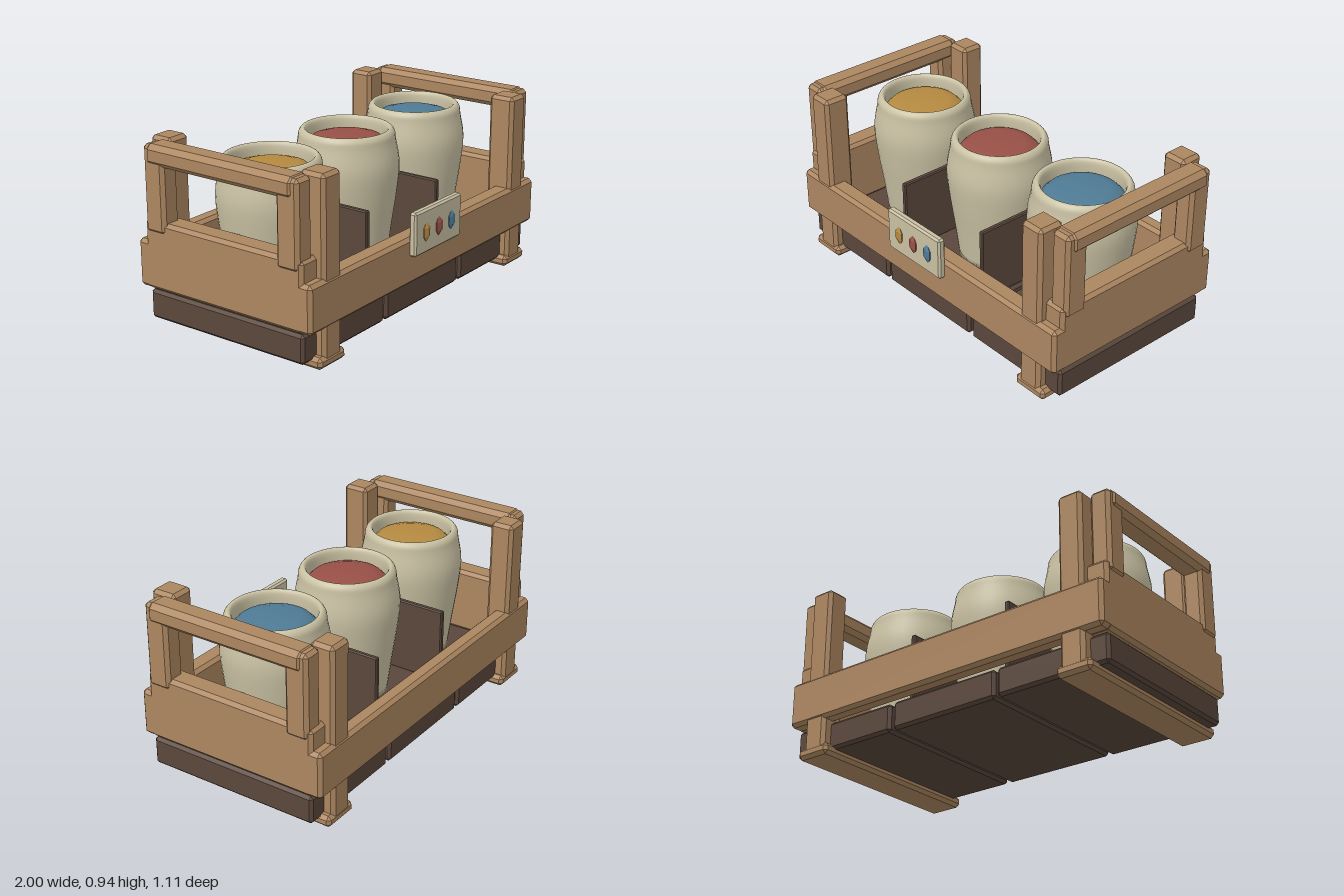
import * as THREE from 'three';
import { ConvexGeometry } from 'three/addons/geometries/ConvexGeometry.js';

const material = (name, color, side = THREE.FrontSide) => {
  const m = new THREE.MeshStandardMaterial({ color, side });
  m.name = name;
  return m;
};

// Box with every edge chamfered by c, given as [min, max] on each axis
function beam(name, mat, [x0, x1], [y0, y1], [z0, z1], c = 0.018) {
  const h = [(x1 - x0) / 2, (y1 - y0) / 2, (z1 - z0) / 2];
  const points = [];
  for (const sx of [-1, 1]) for (const sy of [-1, 1]) for (const sz of [-1, 1])
    for (let axis = 0; axis < 3; axis++) {
      const p = [sx, sy, sz].map((s, i) => s * (h[i] - (i === axis ? 0 : c)));
      points.push(new THREE.Vector3(...p));
    }
  const mesh = new THREE.Mesh(new ConvexGeometry(points), mat);
  mesh.position.set((x0 + x1) / 2, (y0 + y1) / 2, (z0 + z1) / 2);
  mesh.name = name;
  return mesh;
}

const lathe = (profile, segments) =>
  new THREE.LatheGeometry(profile.map(([r, y]) => new THREE.Vector2(r, y)), segments);

export function createModel() {
  const model = new THREE.Group();
  model.name = 'crateWithJars';
  const wood = material('wood', 0xac8660);
  const darkWood = material('dark wood', 0x5a473c);
  const clay = material('pale clay', 0xc9c1a3, THREE.DoubleSide);
  const pigments = [
    material('ochre', 0xb58a40),
    material('brick red', 0x985047),
    material('slate blue', 0x4f7b95),
  ];
  const add = (...args) => model.add(beam(...args));

  // Floor boards
  for (const x of [[-0.97, -0.335], [-0.32, 0.315], [0.335, 0.97]])
    add('floorBoard', darkWood, x, [0.035, 0.185], [-0.495, 0.455], 0.015);

  // Dividers between the jars
  for (const x of [[-0.335, -0.305], [0.268, 0.296]])
    add('divider', darkWood, x, [0.18, 0.58], [-0.4, 0.345], 0.006);

  // Long rails
  add('frontRail', wood, [-0.98, 0.98], [0.195, 0.44], [0.4, 0.508]);
  add('backRail', wood, [-0.98, 0.98], [0.195, 0.44], [-0.555, -0.465]);

  // Both ends: runner, posts, panel, uprights and handle
  for (const s of [-1, 1]) {
    const span = (a, b) => (s > 0 ? [a, b] : [-b, -a]);
    add('footRunner', wood, span(0.712, 0.91), [0, 0.06], [-0.552, 0.508]);
    add('frontPost', wood, span(0.737, 0.872), [0.01, 0.935], [0.36, 0.503]);
    add('backPost', wood, span(0.737, 0.872), [0.01, 0.935], [-0.55, -0.42]);
    add('endPanel', wood, span(0.855, 0.98), [0.193, 0.548], [-0.505, 0.46]);
    add('frontUpright', wood, span(0.88, 0.99), [0.49, 0.93], [0.317, 0.447]);
    add('backUpright', wood, span(0.88, 0.99), [0.49, 0.93], [-0.49, -0.363]);
    add('handle', wood, span(0.868, 1), [0.83, 0.936], [-0.47, 0.425], 0.025);
  }

  // Jars: bulging walls with a rolled rim, and domed contents
  const wall = new THREE.SplineCurve([
    [0.21, 0.187], [0.232, 0.36], [0.256, 0.53], [0.269, 0.68], [0.25, 0.8], [0.243, 0.845],
    [0.222, 0.866], [0.205, 0.845], [0.203, 0.77],
  ].map(([r, y]) => new THREE.Vector2(r, y))).getPoints(32).map((p) => [p.x, p.y]);
  const jarGeometry = lathe([[0, 0.187], ...wall], 40);
  const contentsGeometry = lathe([[0.204, 0.785], [0.18, 0.81], [0.13, 0.825], [0, 0.828]], 40);
  [-0.6, 0, 0.6].forEach((x, i) => {
    const jar = new THREE.Group();
    jar.name = 'jar';
    const body = new THREE.Mesh(jarGeometry, clay);
    body.name = 'jarBody';
    const contents = new THREE.Mesh(contentsGeometry, pigments[i]);
    contents.name = 'jarContents';
    jar.add(body, contents);
    jar.position.set(x, 0, -0.025);
    model.add(jar);
  });

  // Front plaque with a faceted bead for each jar
  add('plaque', clay, [-0.202, 0.202], [0.345, 0.572], [0.5, 0.542], 0.01);
  const beadGeometry = lathe([[0, -0.056], [0.029, -0.022], [0.029, 0.022], [0, 0.056]], 6).toNonIndexed();
  beadGeometry.computeVertexNormals();
  [-0.11, 0, 0.11].forEach((x, i) => {
    const bead = new THREE.Mesh(beadGeometry, pigments[i]);
    bead.name = 'bead';
    bead.position.set(x, 0.455, 0.54);
    bead.scale.z = 0.5;
    model.add(bead);
  });

  return model;
}
